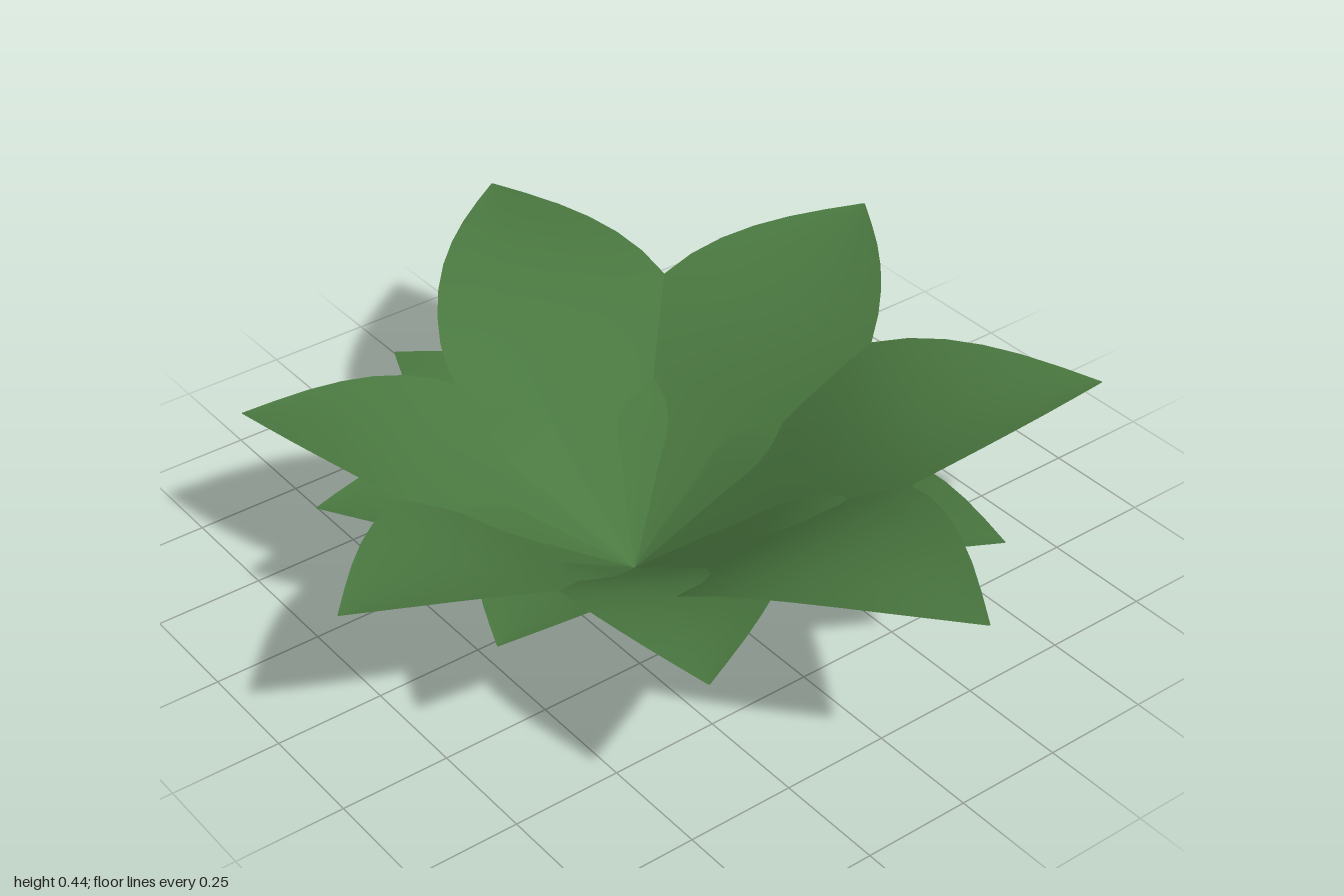
import * as THREE from 'three';

// Unit leaf stations from base to tip: half width, height, distance along the leaf
const STATIONS = [
  [0.004, 0, 0], [0.125, 0.108, 0.15], [0.225, 0.213, 0.3], [0.284, 0.295, 0.42],
  [0.270, 0.363, 0.55], [0.210, 0.405, 0.7], [0.117, 0.424, 0.85], [0.002, 0.43, 1],
];
const CUP = 0.02; // how far the leaf margins rise above the midrib

function leafGeometry() {
  const curve = new THREE.CatmullRomCurve3(STATIONS.map((s) => new THREE.Vector3(...s)));
  const geometry = new THREE.PlaneGeometry(2, 1, 6, 14);
  const pos = geometry.attributes.position;
  const station = new THREE.Vector3();
  for (let i = 0; i < pos.count; i++) {
    const across = pos.getX(i);
    const along = THREE.MathUtils.clamp(pos.getY(i) + 0.5, 0, 1);
    curve.getPoint(along, station);
    const cup = CUP * across * across * Math.sin(Math.PI * along);
    pos.setXYZ(i, station.z, station.y + cup, across * station.x);
  }
  geometry.computeVertexNormals();
  return geometry;
}

export function createModel() {
  const plant = new THREE.Group();
  plant.name = 'leafRosette';

  const leafGreen = new THREE.MeshStandardMaterial({ color: 0x4a7840, side: THREE.DoubleSide });
  leafGreen.name = 'leafGreen';

  // Thirteen leaves spiral round one root point, cycling through three sizes
  const geometry = leafGeometry();
  const lengths = [0.7, 0.862, 1.025];
  const sizes = ['small', 'medium', 'large'];
  for (let i = 0; i < 13; i++) {
    const leaf = new THREE.Mesh(geometry, leafGreen);
    leaf.name = `${sizes[i % 3]}Leaf${Math.floor(i / 3) + 1}`;
    leaf.scale.setScalar(lengths[i % 3]);
    leaf.rotation.y = THREE.MathUtils.degToRad(137.5 * i - 270);
    leaf.position.set(-0.025, 0, 0.055);
    plant.add(leaf);
  }
  return plant;
}
